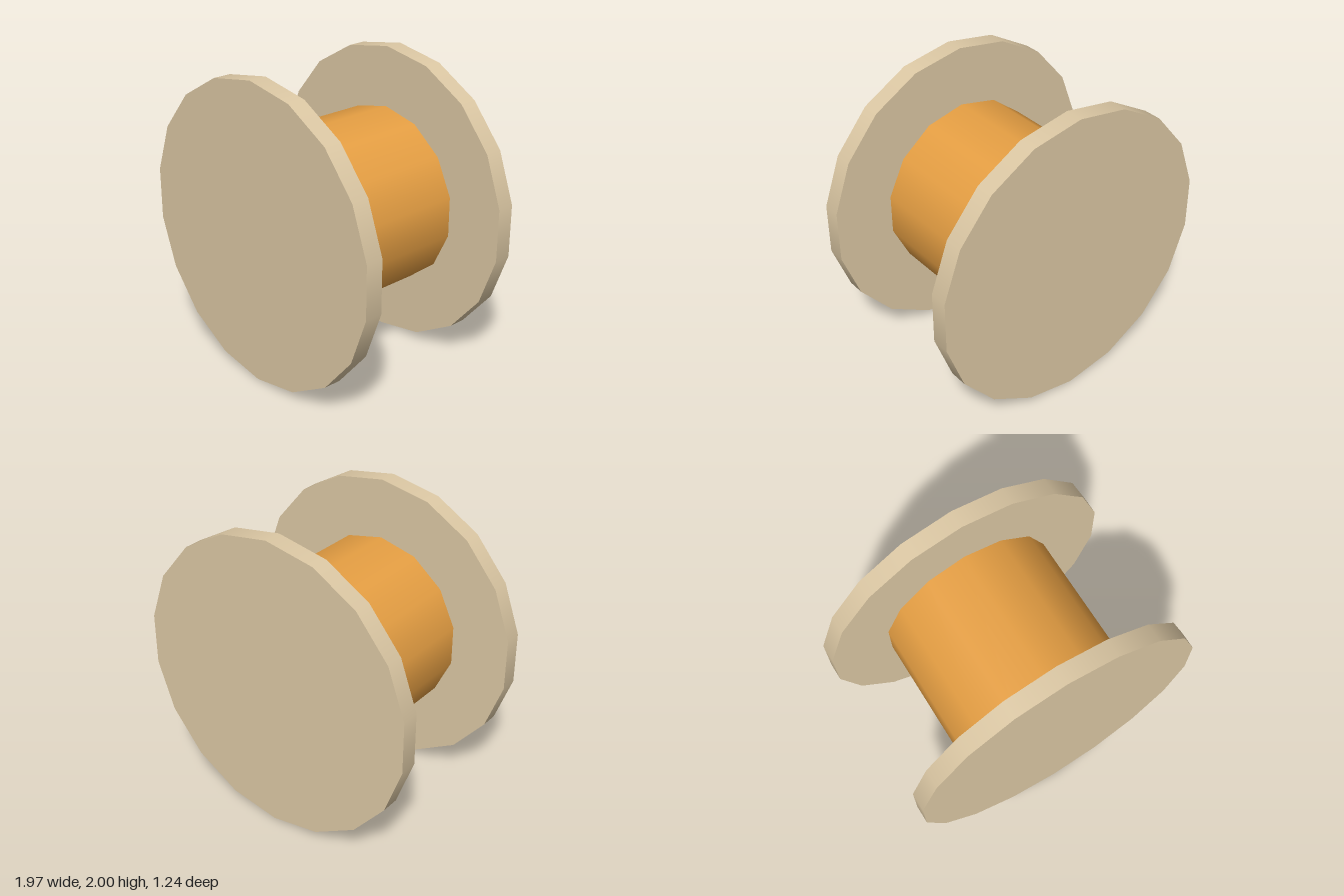
import * as THREE from 'three';

export function createModel() {
  const model = new THREE.Group();
  model.name = 'spool';
  const wood = new THREE.MeshStandardMaterial({ color: 0xdcc8a4 });
  const thread = new THREE.MeshStandardMaterial({ color: 0xe69f43 });

  // Smooth-sided cylinder lying along z, with a corner at top and bottom
  const disc = (name, radius, depth, sides, z, material, open = false) => {
    const geometry = new THREE.CylinderGeometry(radius, radius, depth, sides, 1, open);
    geometry.rotateX(Math.PI / 2);
    const mesh = new THREE.Mesh(geometry, material);
    mesh.name = name;
    mesh.position.set(0, 1, z);
    model.add(mesh);
  };

  // Wound core between the two end flanges
  disc('threadCore', 0.6, 1, 14, 0, thread, true);
  disc('frontFlange', 1, 0.12, 18, 0.56, wood);
  disc('backFlange', 1, 0.12, 18, -0.56, wood);

  return model;
}
